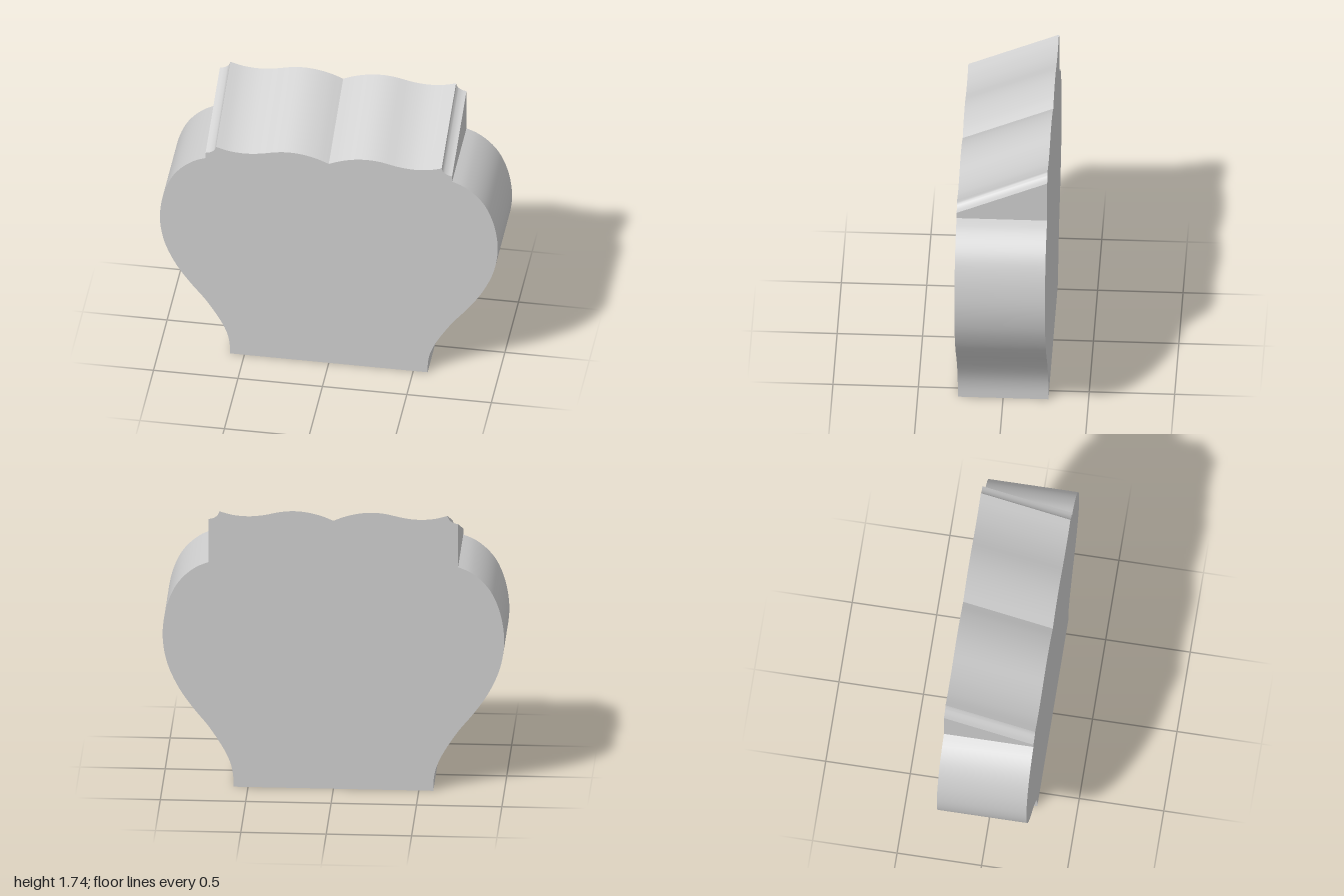
import * as THREE from 'three';
import { toCreasedNormals } from 'three/addons/utils/BufferGeometryUtils.js';

const HALF_DEPTH = 0.265;
const SLOPE_DROP = 0.232; // how much lower the scalloped top is at the front

// Smooth curve through a few [x, y] points
const curve = (pts, n) =>
  new THREE.SplineCurve(pts.map(([x, y]) => new THREE.Vector2(x, y))).getPoints(n);

// Counter-clockwise outline of one face, with the scalloped top lowered by drop
function outline(drop) {
  const side = curve([
    [0.585, 0], [0.588, 0.08], [0.607, 0.16], [0.65, 0.25], [0.73, 0.375], [0.82, 0.488],
    [0.9, 0.605], [0.96, 0.73], [0.99, 0.84], [1, 0.95], [0.99, 1.06], [0.965, 1.16],
    [0.925, 1.25], [0.87, 1.32], [0.8, 1.375], [0.73, 1.405],
  ], 60);
  const cove = curve([[0.73, 1.675], [0.703, 1.682], [0.678, 1.7], [0.668, 1.725]], 9);
  const scallop = curve([
    [0.668, 1.725], [0.59, 1.704], [0.5, 1.697], [0.41, 1.706], [0.31, 1.728],
    [0.23, 1.735], [0.15, 1.728], [0.07, 1.708], [0, 1.68],
  ], 32);
  const top = [...cove, ...scallop.slice(1)].map((p) => new THREE.Vector2(p.x, p.y - drop));
  const half = [...side, ...top];
  // Mirror everything except the shared centre point
  const mirrored = half.slice(0, -1).reverse().map((p) => new THREE.Vector2(-p.x, p.y));
  return [...half, ...mirrored];
}

// Solid joining the front and back outlines
function buildSolid() {
  const front = outline(SLOPE_DROP);
  const back = outline(0);
  const pos = [];
  const addFront = (i) => pos.push(front[i].x, front[i].y, HALF_DEPTH);
  const addBack = (i) => pos.push(back[i].x, back[i].y, -HALF_DEPTH);

  // Flat faces
  for (const t of THREE.ShapeUtils.triangulateShape(front, [])) t.forEach(addFront);
  for (const [a, b, c] of THREE.ShapeUtils.triangulateShape(back, [])) [a, c, b].forEach(addBack);

  // Rim all the way round
  for (let i = 0; i < front.length; i++) {
    const j = (i + 1) % front.length;
    addFront(i); addBack(i); addBack(j);
    addFront(i); addBack(j); addFront(j);
  }
  const geo = new THREE.BufferGeometry();
  geo.setAttribute('position', new THREE.Float32BufferAttribute(pos, 3));
  return toCreasedNormals(geo, 0.5);
}

export function createModel() {
  const group = new THREE.Group();
  group.name = 'vaseBlock';
  const body = new THREE.Mesh(buildSolid(), new THREE.MeshStandardMaterial({ color: 0xcccccc }));
  body.name = 'body';
  group.add(body);
  return group;
}
